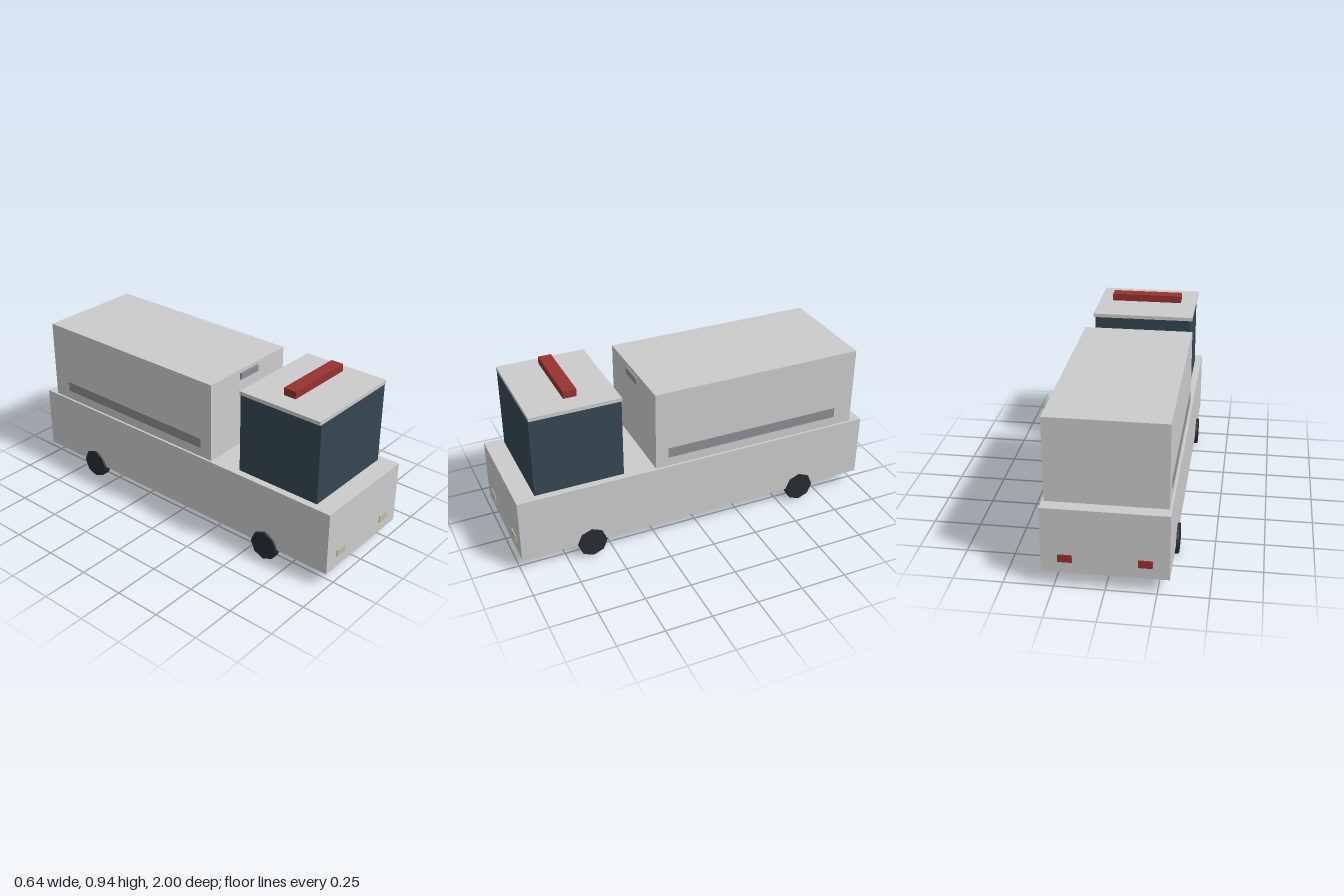
import * as THREE from 'three';

const paint = (color) => new THREE.MeshStandardMaterial({ color });

export function createModel() {
  const model = new THREE.Group();
  const body = paint(0xcccccc);
  const glass = paint(0x354651);
  const red = paint(0x963230);
  const trim = paint(0x8a8e93);
  const lamp = paint(0xc2bda5);
  const rubber = paint(0x282c32);

  // Box given by its extents on each axis
  const box = (name, material, [x0, x1], [y0, y1], [z0, z1]) => {
    const mesh = new THREE.Mesh(new THREE.BoxGeometry(x1 - x0, y1 - y0, z1 - z0), material);
    mesh.position.set((x0 + x1) / 2, (y0 + y1) / 2, (z0 + z1) / 2);
    mesh.name = name;
    model.add(mesh);
  };

  // Lower body
  box('chassis', body, [-0.31, 0.31], [0.081, 0.428], [-0.995, 0.995]);

  // Cab with roof panel and floating warning light bar
  box('cab', glass, [-0.272, 0.272], [0.428, 0.865], [0.413, 0.892]);
  box('cabRoof', body, [-0.283, 0.283], [0.865, 0.885], [0.413, 0.892]);
  box('lightBar', red, [-0.199, 0.199], [0.9, 0.94], [0.618, 0.688]);

  // Rear compartment with a small panel facing the cab
  box('rearCompartment', body, [-0.298, 0.298], [0.428, 0.865], [-0.929, 0.244]);
  box('frontPanel', trim, [-0.07, 0.07], [0.813, 0.847], [0.24, 0.256]);

  // Parts mirrored on both sides
  for (const [side, s] of [['left', 1], ['right', -1]]) {
    const span = (a, b) => (s > 0 ? [a, b] : [-b, -a]);
    box(`${side}SideStripe`, trim, span(0.29, 0.301), [0.48, 0.535], [-0.822, 0.175]);
    box(`${side}Headlight`, lamp, span(0.158, 0.228), [0.14, 0.18], [0.985, 1]);
    box(`${side}TailLight`, red, span(0.158, 0.228), [0.14, 0.18], [-1, -0.985]);

    // Eight-sided wheels
    for (const [end, z] of [['Front', 0.615], ['Rear', -0.619]]) {
      const geometry = new THREE.CylinderGeometry(0.08, 0.08, 0.049, 8).rotateZ(Math.PI / 2);
      const wheel = new THREE.Mesh(geometry, rubber);
      wheel.position.set(s * 0.298, 0.08, z);
      wheel.name = `${side}${end}Wheel`;
      model.add(wheel);
    }
  }

  return model;
}
